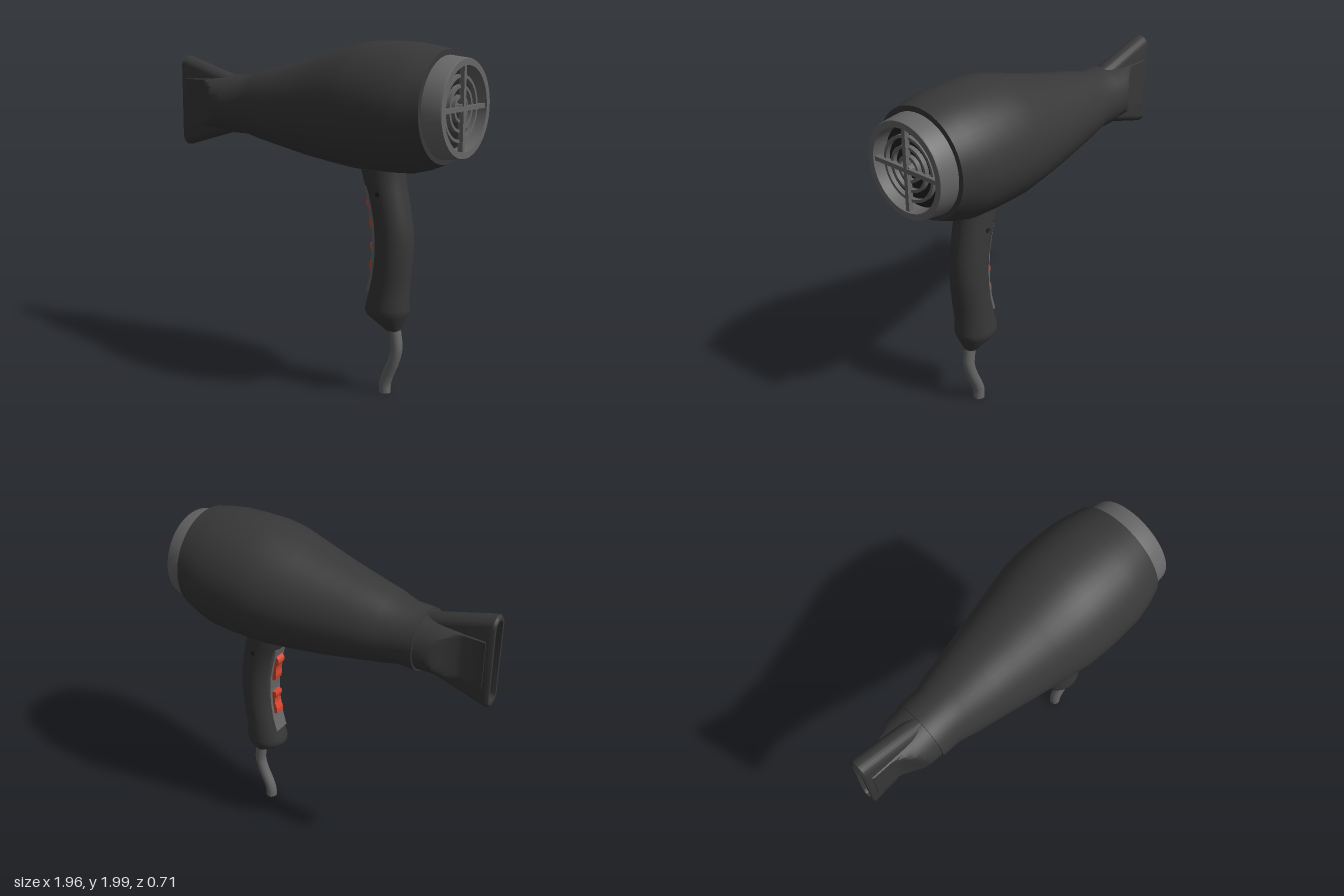
import * as THREE from 'three';
import { toCreasedNormals } from 'three/addons/utils/BufferGeometryUtils.js';

const N = 48;
const mat = (name, color) => Object.assign(new THREE.MeshStandardMaterial({ color }), { name });

// Skin a list of closed rings (arrays of [x, y, z]); optional flat ends.
function loft(rings, capStart = true, capEnd = true, crease = 0.55) {
  const n = rings[0].length, pos = rings.flat(2), idx = [];
  for (let i = 0; i < rings.length - 1; i++) {
    for (let j = 0; j < n; j++) {
      const k = (j + 1) % n, a = i * n + j, b = i * n + k;
      idx.push(a, b, a + n, b, b + n, a + n);
    }
  }
  const last = (rings.length - 1) * n;
  for (let j = 1; j < n - 1; j++) {
    if (capStart) idx.push(0, j + 1, j);
    if (capEnd) idx.push(last, last + j, last + j + 1);
  }
  const g = new THREE.BufferGeometry();
  g.setAttribute('position', new THREE.Float32BufferAttribute(pos, 3));
  g.setIndex(idx);
  return toCreasedNormals(g, crease);
}

const ring = fn => Array.from({ length: N }, (_, j) => fn((j + 0.5) / N * Math.PI * 2));
// Circle across the x axis, with its sides optionally cut flat at z = +-h
const ringX = (x, cy, r, h = 9) => ring(t =>
  [x, cy + r * Math.cos(t), THREE.MathUtils.clamp(r * Math.sin(t), -h, h)]);
// Upright slot outline across the x axis
const slotX = (x, cy, H, T) => ring(t =>
  [x, cy + Math.sign(Math.cos(t)) * (H - T) + T * Math.cos(t), T * Math.sin(t)]);
// Ellipse across the y axis reaching from x0 to x1
const ringY = (y, x0, x1, rz) => ring(t =>
  [(x0 + x1) / 2 + (x1 - x0) / 2 * Math.sin(t), y, rz * Math.cos(t)]);

export function createModel() {
  const model = new THREE.Group();
  model.name = 'hairDryer';
  const dark = mat('charcoal plastic', 0x383838);
  const grey = mat('grey plastic', 0x666666);
  const red = mat('red switch', 0xd8472f);
  const black = mat('dark recess', 0x222222);
  const add = (name, geo, material) => {
    const m = new THREE.Mesh(geo, material);
    m.name = name;
    model.add(m);
    return m;
  };

  // Barrel: x, centre height, radius
  add('body', loft([
    [-0.58, 1.6, 0.175], [-0.46, 1.601, 0.176], [-0.36, 1.605, 0.203], [-0.18, 1.608, 0.24],
    [0, 1.613, 0.278], [0.18, 1.626, 0.316], [0.33, 1.639, 0.346], [0.43, 1.645, 0.354],
    [0.55, 1.645, 0.355], [0.69, 1.646, 0.349], [0.78, 1.652, 0.331], [0.87, 1.662, 0.303],
  ].map(p => ringX(...p))), dark);

  // Nozzle: a round collar scooped to a flat neck, and a flared slotted blade
  add('nozzleCollar', loft([
    [-0.94, 0.15, 0.062], [-0.82, 0.153, 0.064], [-0.79, 0.155, 0.073], [-0.75, 0.157, 0.095],
    [-0.71, 0.159, 0.123], [-0.68, 0.161, 0.145], [-0.65, 0.162, 0.162], [-0.57, 0.166, 0.17],
  ].map(([x, r, h]) => ringX(x, 1.6, r, h))), dark);
  add('nozzleBlade', loft([
    [-0.88, 0.24, 0.035], [-0.98, 0.245, 0.037], [-0.98, 0.262, 0.05], [-0.968, 0.276, 0.056],
    [-0.95, 0.274, 0.056], [-0.65, 0.187, 0.056], [-0.57, 0.165, 0.045],
  ].map(([x, H, T]) => slotX(x, 1.6, H, T))), dark);

  // Rear intake: cap rim, dark recess and grille
  const cy = 1.66;
  add('rearCap', loft([
    [0.86, 0.276], [0.972, 0.264], [0.98, 0.26], [0.98, 0.226], [0.89, 0.222],
  ].map(([x, r]) => ringX(x, cy, r)), true, false), grey);
  add('intakeRecess', loft([ringX(0.885, cy, 0.224), ringX(0.893, cy, 0.224)]), black);
  for (const r of [0.065, 0.117, 0.17]) {
    const w = 0.008;
    add('grilleRing', loft([
      ringX(0.925, cy, r - w), ringX(0.925, cy, r + w), ringX(0.95, cy, r + w),
      ringX(0.95, cy, r - w), ringX(0.925, cy, r - w),
    ], false, false), grey);
  }
  add('grilleHub', loft([ringX(0.925, cy, 0.028), ringX(0.962, cy, 0.028)]), grey);
  for (const angle of [0, Math.PI / 2]) {
    const bar = add('grilleBar', new THREE.BoxGeometry(0.03, 0.455, 0.024), grey);
    bar.position.set(0.955, cy, 0);
    bar.rotation.x = angle;
  }

  // Handle: height, front edge, back edge, half depth
  add('handle', loft([
    [0.39, 0.515, 0.6, 0.043], [0.475, 0.395, 0.635, 0.108], [0.495, 0.385, 0.643, 0.114],
    [0.52, 0.386, 0.645, 0.115], [0.57, 0.4, 0.64, 0.109], [0.7, 0.432, 0.652, 0.109],
    [0.8, 0.444, 0.66, 0.109], [0.9, 0.446, 0.665, 0.109], [1.0, 0.438, 0.656, 0.109],
    [1.1, 0.418, 0.637, 0.11], [1.18, 0.396, 0.622, 0.11], [1.22, 0.372, 0.615, 0.11],
    [1.29, 0.35, 0.605, 0.11], [1.42, 0.345, 0.595, 0.11],
  ].map(p => ringY(...p))), dark);

  // Side profiles extruded across the handle for the switch plate and switches
  const across = (points, width) => {
    const shape = new THREE.Shape(points.map(p => new THREE.Vector2(...p)));
    return new THREE.ExtrudeGeometry(shape, { depth: width, bevelEnabled: false })
      .translate(0, 0, -width / 2);
  };
  add('switchPlate', across([
    [0.402, 0.6], [0.45, 0.6], [0.48, 0.8], [0.48, 0.95], [0.45, 1.12], [0.42, 1.2], [0.386, 1.2],
    [0.412, 1.1], [0.433, 1.0], [0.441, 0.9], [0.439, 0.8], [0.427, 0.7],
  ], 0.1), grey);
  add('upperSwitch', across([
    [0.445, 0.965], [0.46, 1.0], [0.43, 1.13], [0.402, 1.145], [0.386, 1.125], [0.384, 1.105],
    [0.402, 1.07], [0.408, 1.04], [0.408, 1.0], [0.416, 0.97],
  ], 0.06), red);
  add('lowerSwitch', across([
    [0.44, 0.72], [0.46, 0.75], [0.46, 0.86], [0.44, 0.88], [0.415, 0.88], [0.412, 0.86],
    [0.425, 0.825], [0.425, 0.8], [0.41, 0.755], [0.41, 0.725],
  ], 0.06), red);

  // Screw recesses on both sides
  for (const s of [1, -1]) {
    const screw = add('screw', new THREE.CylinderGeometry(0.014, 0.014, 0.006, 20), black);
    screw.position.set(0.51, 1.175, s * 0.109);
    screw.rotation.x = Math.PI / 2;
  }

  // Power cord with a closed lower end
  const path = new THREE.CatmullRomCurve3([
    [0.562, 0.42], [0.574, 0.35], [0.58, 0.28], [0.56, 0.2], [0.522, 0.11], [0.507, 0.06], [0.506, 0.008],
  ].map(([x, y]) => new THREE.Vector3(x, y, 0)));
  add('cord', new THREE.TubeGeometry(path, 40, 0.034, 20), grey);
  const end = add('cordEnd', new THREE.CircleGeometry(0.034, 20), grey);
  end.position.set(0.506, 0.008, 0);
  end.rotation.x = Math.PI / 2;
  return model;
}
